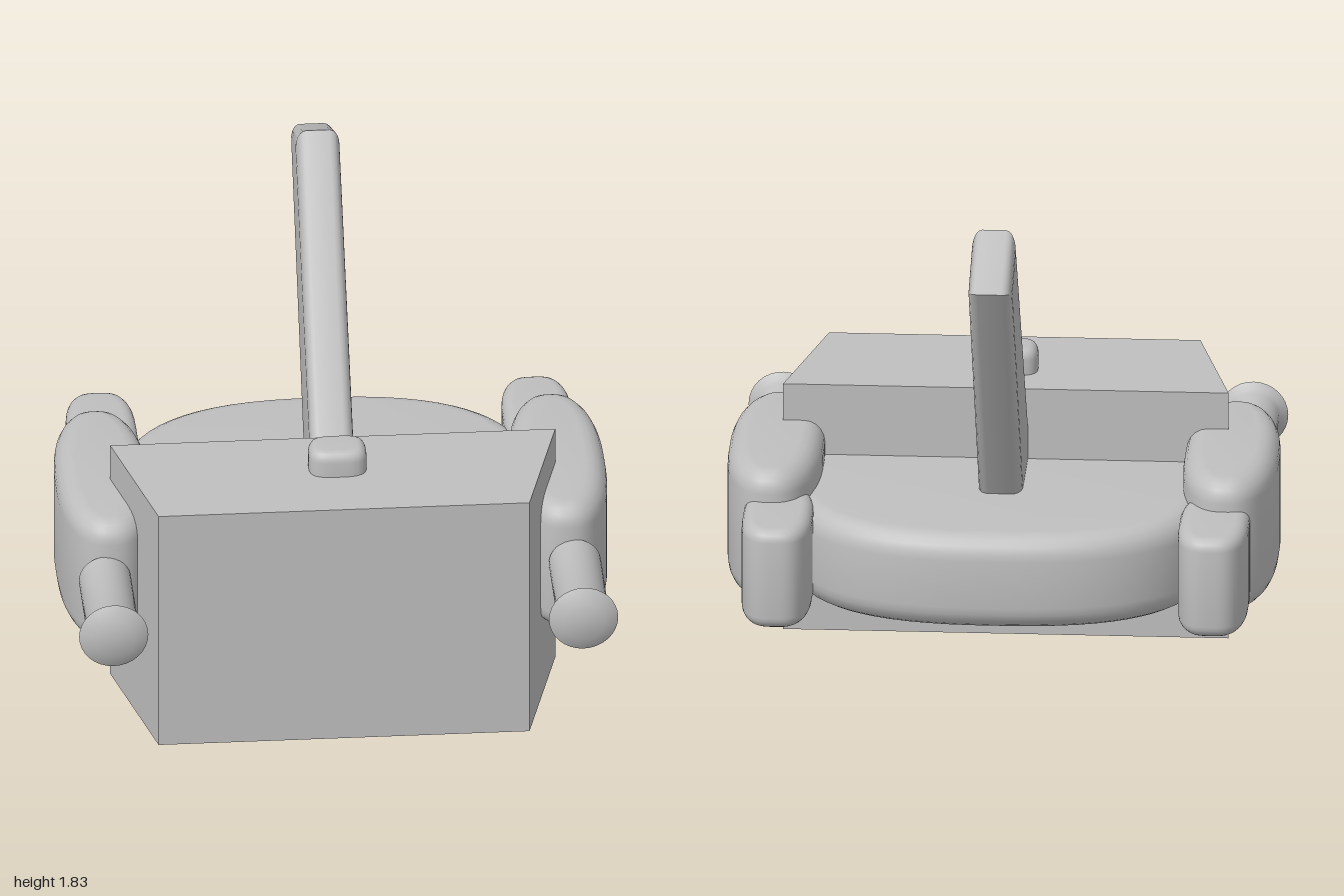
import * as THREE from 'three';
import { toCreasedNormals } from 'three/addons/utils/BufferGeometryUtils.js';

const grey = new THREE.MeshStandardMaterial({ color: 0xbfbfbf });
grey.name = 'grey';

function mesh(name, geometry) {
  const m = new THREE.Mesh(toCreasedNormals(geometry, 0.7), grey);
  m.name = name;
  return m;
}

// Extrusion of the given total thickness whose edges are rounded inwards.
function bevelled(shape, thickness, inset, drop) {
  const g = new THREE.ExtrudeGeometry(shape, {
    depth: thickness - 2 * drop, bevelEnabled: true, bevelSegments: 5,
    bevelSize: inset, bevelOffset: -inset, bevelThickness: drop,
  });
  return g.translate(0, 0, drop);
}

// Upright cushion with a superellipse plan, centred on (x, z).
function cushion(name, x, z, rx, rz, power, y0, y1, inset, drop) {
  const pts = [];
  const curve = (v) => Math.sign(v) * Math.pow(Math.abs(v), 2 / power);
  for (let i = 0; i < 64; i++) {
    const a = ((i + 0.5) / 64) * Math.PI * 2;
    pts.push(new THREE.Vector2(rx * curve(Math.cos(a)), rz * curve(Math.sin(a))));
  }
  const g = bevelled(new THREE.Shape(pts), y1 - y0, inset, drop);
  g.rotateX(-Math.PI / 2).translate(x, y0, z);
  return mesh(name, g);
}

export function createModel() {
  const model = new THREE.Group();
  model.name = 'ridingSeat';

  // Front box, narrower towards the front
  const plan = new THREE.Shape([[-0.675, -0.65], [0.675, -0.65], [0.81, -0.11], [-0.81, -0.11]]
    .map(([x, y]) => new THREE.Vector2(x, y)));
  const box = new THREE.ExtrudeGeometry(plan, { depth: 0.95, bevelEnabled: false });
  model.add(mesh('frontBox', box.rotateX(-Math.PI / 2)));

  // Button on top of the box
  model.add(cushion('button', 0, 0.327, 0.105, 0.082, 3.2, 0.85, 1.045, 0.032, 0.04));

  // Round-backed seat
  model.add(cushion('seat', 0, -0.1, 0.77, 0.63, 2.5, 0.32, 0.68, 0.08, 0.09));

  // Backward-leaning mast, drawn in profile as (-z, y)
  const profile = new THREE.Shape([[-0.39, 0.5], [0.145, 0.5], [0.9, 1.69], [0.6, 1.83]]
    .map(([x, y]) => new THREE.Vector2(x, y)));
  const mast = bevelled(profile, 0.16, 0.06, 0.037);
  model.add(mesh('mast', mast.translate(0, 0, -0.08).rotateY(Math.PI / 2)));

  // Armrests with rear pads and flared grips on both sides
  for (const side of [1, -1]) {
    const arm = new THREE.Group();
    arm.name = side > 0 ? 'leftArm' : 'rightArm';
    arm.add(cushion('armrest', side * 0.828, 0.003, 0.172, 0.457, 2.5, 0.3, 0.81, 0.075, 0.08));
    arm.add(cushion('rearPad', side * 0.793, -0.5, 0.127, 0.26, 3, 0.32, 0.7, 0.045, 0.045));

    const grip = new THREE.LatheGeometry([
      [0, 0.455], [0.095, 0.455], [0.095, 0.83], [0.105, 0.85], [0.126, 0.87], [0.075, 0.9], [0, 0.9],
    ].map(([r, y]) => new THREE.Vector2(r, y)), 32);
    arm.add(mesh('grip', grip.rotateX(Math.PI / 2).translate(side * 0.855, 0.585, 0)));
    model.add(arm);
  }
  return model;
}
